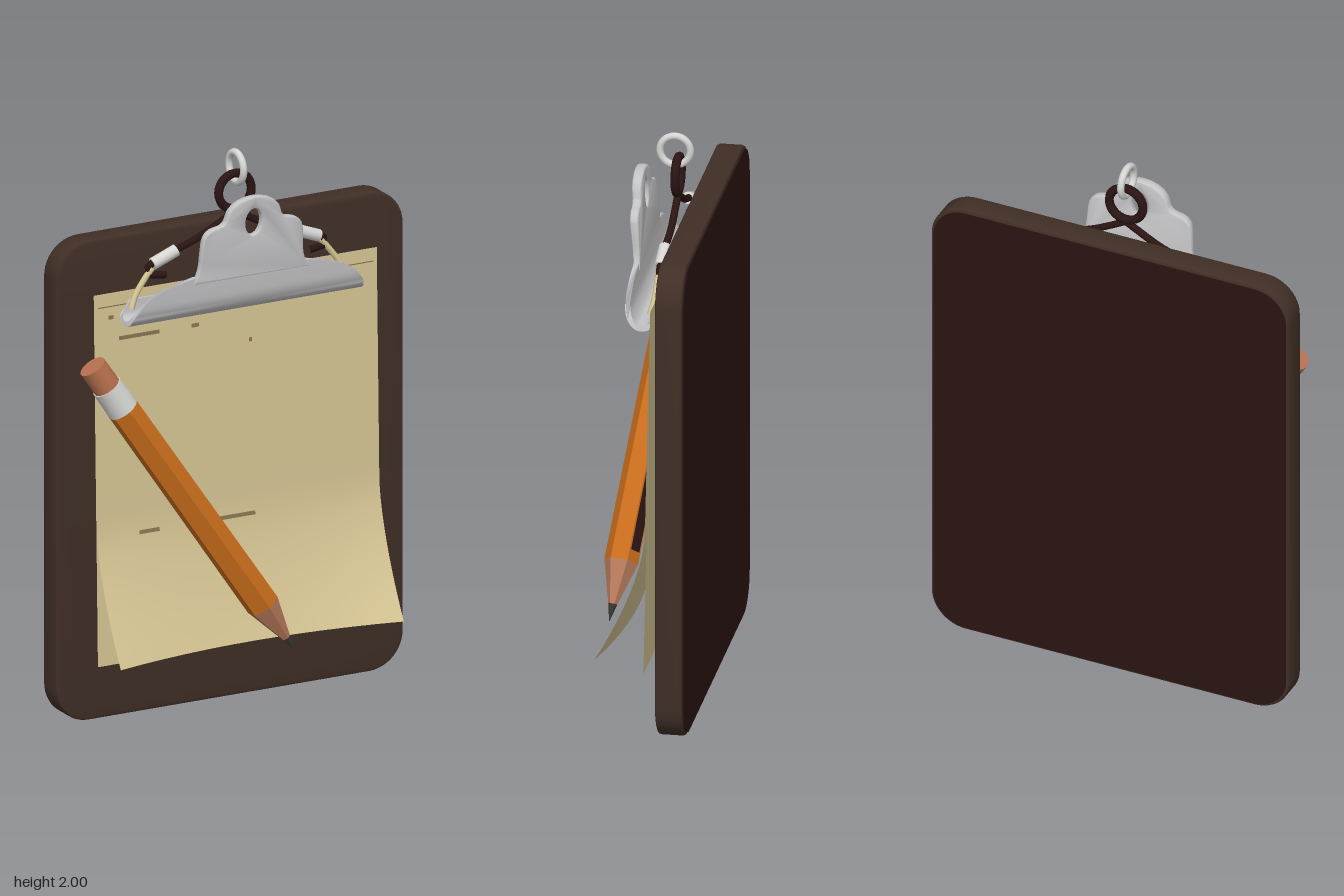
import * as THREE from 'three';
import { toCreasedNormals } from 'three/addons/utils/BufferGeometryUtils.js';

const mat = (name, color, extra = {}) => {
  const m = new THREE.MeshStandardMaterial({ color, ...extra });
  m.name = name;
  return m;
};

export function createModel() {
  const boardBrown = mat('board brown', 0x402f26);
  const darkBrown = mat('dark brown', 0x2a1513);
  const steel = mat('steel', 0xc4c4c6);
  const paleMetal = mat('pale metal', 0xd6d6d4);
  const paperCream = mat('paper cream', 0xd6c594, { side: THREE.DoubleSide });
  const orange = mat('pencil orange', 0xc96d1c);
  const wood = mat('pencil wood', 0xb97c5c);
  const rubber = mat('eraser pink', 0xb9714f);
  const lead = mat('lead', 0x3a3532);
  const ink = mat('ink brown', 0x8a7650, { side: THREE.DoubleSide });

  const model = new THREE.Group();
  model.name = 'clipboard';
  const add = (name, geo, material, parent = model) => {
    const mesh = new THREE.Mesh(geo, material);
    mesh.name = name;
    parent.add(mesh);
    return mesh;
  };
  // Moves each vertex by a rule, then refreshes the normals
  const warp = (geo, rule) => {
    const p = geo.attributes.position, v = new THREE.Vector3();
    for (let i = 0; i < p.count; i++) {
      v.fromBufferAttribute(p, i);
      rule(v);
      p.setXYZ(i, v.x, v.y, v.z);
    }
    geo.computeVertexNormals();
    return geo;
  };
  const lerp = THREE.MathUtils.lerp;

  // Board with rounded corners and a darker back
  const roundedRect = (w, y0, y1, r) => {
    const s = new THREE.Shape();
    s.absarc(w - r, y0 + r, r, -Math.PI / 2, 0);
    s.absarc(w - r, y1 - r, r, 0, Math.PI / 2);
    s.absarc(-w + r, y1 - r, r, Math.PI / 2, Math.PI);
    s.absarc(-w + r, y0 + r, r, Math.PI, Math.PI * 1.5);
    s.closePath();
    return s;
  };
  const board = new THREE.ExtrudeGeometry(roundedRect(0.67, 0.012, 1.728, 0.12), {
    depth: 0.076, bevelSize: 0.012, bevelThickness: 0.01, bevelSegments: 2, curveSegments: 6,
  });
  board.translate(0, 0, -0.176);
  add('board', toCreasedNormals(board, 0.7), boardBrown);
  const back = new THREE.ExtrudeGeometry(roundedRect(0.67, 0.012, 1.728, 0.12), { depth: 0.004, bevelEnabled: false, curveSegments: 6 });
  add('boardBack', back.translate(0, 0, -0.19), darkBrown);

  // Sheets: a flat one behind, and one whose lower end curls forward
  const sheetZ = y => -0.06 + 0.03 * (1.55 - y) / 1.34;
  const curlZ = (x, y) => {
    const t = Math.max(0, (0.72 - y) / 0.47);
    return sheetZ(y) + 0.007 + 0.165 * Math.pow(t, 1.6) * (0.62 + 0.38 * (x / 0.55) ** 2);
  };
  const sheet = (w, y0, y1, zRule, rows) => {
    const g = new THREE.PlaneGeometry(w, y1 - y0, 12, rows).translate(0, (y0 + y1) / 2, 0);
    return warp(g, v => { v.z = zRule(v.x, v.y); });
  };
  add('backSheet', sheet(1.11, 0.21, 1.55, (x, y) => sheetZ(y), 2), paperCream).position.x = 0.004;
  add('curledSheet', sheet(1.11, 0.25, 1.55, curlZ, 26), paperCream);

  // Faint written marks lying on the curled sheet
  const marks = [[-0.38, 1.385, 0.16], [-0.16, 1.385, 0.03], [-0.35, 0.675, 0.08], [-0.02, 0.675, 0.17],
    [0.055, 1.3, 0.012], [0, 1.505, 1.08], [-0.49, 1.465, 0.02]];
  marks.forEach(([x, y, w], i) => {
    const h = w > 1 ? 0.004 : 0.014;
    const g = new THREE.PlaneGeometry(w, h, 6, 1).translate(x, y, 0);
    add('mark' + i, warp(g, v => { v.z = curlZ(v.x, v.y) + 0.003; }), ink);
  });

  // Clip jaw: a J-shaped section stretched sideways, flaring towards its foot
  const clip = new THREE.Group();
  clip.name = 'clip';
  model.add(clip);
  const jaw = new THREE.SplineCurve([[0.053, 1.595], [0.05, 1.54], [0.044, 1.495], [0.02, 1.457], [-0.015, 1.449],
    [-0.042, 1.47], [-0.047, 1.52]].map(p => new THREE.Vector2(...p)));
  const outer = [], inner = [];
  for (let i = 0; i <= 20; i++) {
    const p = jaw.getPoint(i / 20), t = jaw.getTangent(i / 20);
    outer.push(new THREE.Vector2(p.x + t.y * 0.009, p.y - t.x * 0.009));
    inner.unshift(new THREE.Vector2(p.x - t.y * 0.009, p.y + t.x * 0.009));
  }
  const flare = [[1.44, 0.46], [1.48, 0.45], [1.53, 0.41], [1.555, 0.37], [1.575, 0.32], [1.6, 0.2]];
  const halfWidth = y => {
    for (let i = 1; i < flare.length; i++) {
      const [y0, w0] = flare[i - 1], [y1, w1] = flare[i];
      if (y <= y1) return lerp(w0, w1, THREE.MathUtils.clamp((y - y0) / (y1 - y0), 0, 1));
    }
    return 0.2;
  };
  const jawGeo = new THREE.ExtrudeGeometry(new THREE.Shape([...outer, ...inner]), { depth: 2, steps: 2, bevelEnabled: false });
  jawGeo.translate(0, 0, -1).rotateY(-Math.PI / 2);
  add('clipJaw', toCreasedNormals(warp(jawGeo, v => { v.x *= halfWidth(v.y); }), 0.8), steel, clip);

  // Clip lever: stepped plate with a round head and an oval hole, leaning forward
  const lever = new THREE.Shape();
  lever.moveTo(-0.22, 1.575);
  lever.lineTo(0.22, 1.575);
  lever.quadraticCurveTo(0.195, 1.61, 0.195, 1.66);
  lever.lineTo(0.19, 1.72);
  lever.quadraticCurveTo(0.185, 1.76, 0.14, 1.765);
  lever.quadraticCurveTo(0.105, 1.77, 0.1, 1.8);
  lever.bezierCurveTo(0.085, 1.88, -0.085, 1.88, -0.1, 1.8);
  lever.quadraticCurveTo(-0.105, 1.77, -0.14, 1.765);
  lever.quadraticCurveTo(-0.185, 1.76, -0.19, 1.72);
  lever.lineTo(-0.195, 1.66);
  lever.quadraticCurveTo(-0.195, 1.61, -0.22, 1.575);
  const hole = new THREE.Path();
  hole.absellipse(0, 1.772, 0.038, 0.055, 0, Math.PI * 2, true);
  lever.holes.push(hole);
  const leverGeo = new THREE.ExtrudeGeometry(lever, {
    depth: 0.012, bevelSize: 0.006, bevelThickness: 0.008, bevelSegments: 3, curveSegments: 10,
  }).translate(0, 0, -0.006);
  warp(leverGeo, v => {
    const t = (v.y - 1.575) / 0.29;
    v.z = v.z * lerp(0.8, 1.25, t) + lerp(0.052, 0.077, t);
  });
  add('clipLever', toCreasedNormals(leverGeo, 0.8), steel, clip);

  // Spring wire: loop, legs, metal sleeves and pale ends
  const tube = (points, r) => new THREE.TubeGeometry(
    new THREE.CatmullRomCurve3(points.map(p => new THREE.Vector3(...p))), 16, r, 8);
  add('wireLoop', new THREE.TorusGeometry(0.064, 0.016, 8, 28).translate(0, 1.845, -0.055), darkBrown);
  for (const s of [-1, 1]) {
    const side = s > 0 ? 'left' : 'right';
    add(side + 'WireLeg', tube([[-s * 0.03, 1.79, -0.055], [s * 0.05, 1.745, -0.055], [s * 0.14, 1.7, -0.055],
      [s * 0.26, 1.66, -0.05], [s * 0.34, 1.63, -0.05], [s * 0.35, 1.6, -0.05], [s * 0.28, 1.59, -0.04]], 0.013), darkBrown);
    const sleeve = add(side + 'Sleeve', new THREE.CylinderGeometry(0.022, 0.022, 0.1, 12), paleMetal);
    sleeve.position.set(s * 0.28, 1.65, -0.05);
    sleeve.rotation.z = s * 1.2;
    add(side + 'WireEnd', tube([[s * 0.33, 1.62, -0.045], [s * 0.36, 1.585, -0.045], [s * 0.4, 1.53, -0.04],
      [s * 0.42, 1.49, -0.03]], 0.011), paperCream);
  }

  // Hanging ring, turned edge-on to the front
  const ring = add('hangingRing', new THREE.TorusGeometry(0.053, 0.013, 10, 32), paleMetal);
  ring.rotation.y = Math.PI / 2;
  ring.position.set(0, 1.934, -0.045);

  // Pencil lying diagonally; its local y runs from tip to eraser
  const pencil = new THREE.Group();
  pencil.name = 'pencil';
  model.add(pencil);
  const tip = new THREE.Vector3(0.116, 0.223, 0.165), end = new THREE.Vector3(-0.605, 1.328, 0.03);
  const L = tip.distanceTo(end);
  const Y = end.clone().sub(tip).normalize();
  const X = Y.clone().cross(new THREE.Vector3(0, 0, 1)).normalize();
  const Z = X.clone().cross(Y);
  pencil.quaternion.setFromRotationMatrix(new THREE.Matrix4().makeBasis(X, Y, Z));
  pencil.position.copy(tip);
  const section = (name, a, b, r0, r1, n, material) => {
    const g = new THREE.CylinderGeometry(r1, r0, (b - a) * L, n).translate(0, (a + b) / 2 * L, 0);
    add(name, toCreasedNormals(g, 0.7), material, pencil);
  };
  section('lead', 0, 0.045, 0.001, 0.016, 6, lead);
  section('sharpenedWood', 0.045, 0.16, 0.016, 0.06, 6, wood);
  section('shaft', 0.16, 0.85, 0.06, 0.058, 6, orange);
  section('ferrule', 0.85, 0.93, 0.056, 0.054, 16, paleMetal);
  section('eraser', 0.93, 1, 0.05, 0.049, 16, rubber);

  // Dark stripe along one rear facet of the shaft
  const stripe = new THREE.BoxGeometry(0.045, 0.62 * L, 0.004).translate(0, 0.5 * L, 0.051);
  add('shaftStripe', stripe.rotateY(Math.PI * 5 / 6), darkBrown, pencil);

  return model;
}
